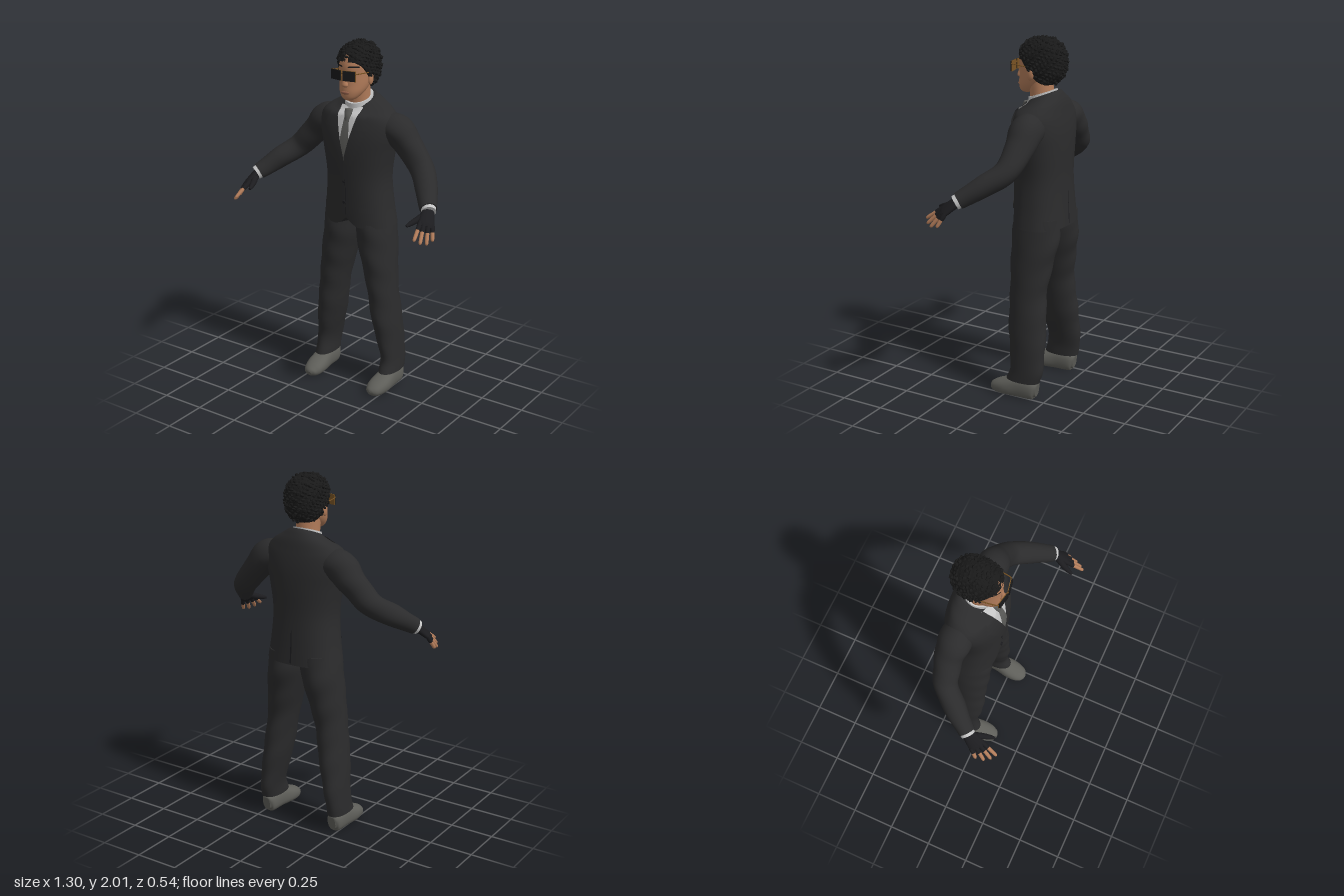
import * as THREE from 'three';
import { mergeGeometries } from 'three/addons/utils/BufferGeometryUtils.js';

const V = (x, y, z) => new THREE.Vector3(x, y, z);
const mat = (name, color) => {
  const m = new THREE.MeshStandardMaterial({ color, side: THREE.DoubleSide });
  m.name = name;
  return m;
};

// Smooth closed body through sections [x, y, z, a, b, power]; flat keeps them horizontal
function sweep(rows, { flat = false, ref = [0, 0, 1], segs = 24, steps = rows.length * 5, rule } = {}) {
  const path = new THREE.CatmullRomCurve3(rows.map((r) => V(r[0], r[1], r[2])), false, 'catmullrom', 0.5);
  const size = new THREE.CatmullRomCurve3(rows.map(([, , , a, b = a, n = 2]) => V(a, b, n)), false, 'catmullrom', 0.5);
  const rings = [];
  for (let i = 0; i <= steps; i++) {
    const p = path.getPoint(i / steps), q = size.getPoint(i / steps), t = path.getTangent(i / steps);
    const u = flat ? V(1, 0, 0) : V(...ref).addScaledVector(t, -t.dot(V(...ref))).normalize();
    const v = flat ? V(0, 0, 1) : V(0, 0, 0).crossVectors(t, u);
    const ring = [];
    for (let j = 0; j < segs; j++) {
      const c = Math.cos((j / segs) * 2 * Math.PI), s = Math.sin((j / segs) * 2 * Math.PI);
      const k = (w) => Math.sign(w) * Math.abs(w) ** (2 / q.z);
      const o = p.clone().addScaledVector(u, k(c) * q.x).addScaledVector(v, k(s) * q.y);
      if (rule) rule(o);
      ring.push(o);
    }
    rings.push(ring);
  }
  const verts = rings.flat(), idx = [];
  for (let i = 0; i < steps; i++) for (let j = 0; j < segs; j++) {
    const a = i * segs + j, b = i * segs + (j + 1) % segs;
    idx.push(a, b, a + segs, b, b + segs, a + segs);
  }
  // End caps with their own corners, so hems stay crisp
  [rings[0], rings[steps]].forEach((ring, e) => {
    const base = verts.length;
    const mid = ring.reduce((m, o) => m.add(o), V(0, 0, 0)).divideScalar(segs);
    verts.push(...ring, mid);
    for (let j = 0; j < segs; j++) {
      const a = base + j, b = base + (j + 1) % segs;
      idx.push(...(e ? [a, b, base + segs] : [b, a, base + segs]));
    }
  });
  let volume = 0;
  for (let i = 0; i < idx.length; i += 3)
    volume += verts[idx[i]].dot(V(0, 0, 0).crossVectors(verts[idx[i + 1]], verts[idx[i + 2]]));
  if (volume < 0) idx.reverse();
  const g = new THREE.BufferGeometry().setFromPoints(verts);
  g.setIndex(idx);
  g.computeVertexNormals();
  return g;
}

// Thin sheet laid over a mesh, from rows [y, x0, x1]; side -1 is the back
function drape(target, rows, off, side = 1, s = 1) {
  const pts = [], idx = [], nx = 8, per = 6, ray = new THREE.Raycaster();
  let last = 0;
  const ny = (rows.length - 1) * per;
  for (let i = 0; i <= ny; i++) {
    const k = Math.min(Math.floor(i / per), rows.length - 2), f = i / per - k;
    const [y, x0, x1] = rows[k].map((w, n) => THREE.MathUtils.lerp(w, rows[k + 1][n], f));
    for (let j = 0; j <= nx; j++) {
      const x = s * THREE.MathUtils.lerp(x0, x1, j / nx);
      ray.set(V(x, y, side * 2), V(0, 0, -side));
      const hit = ray.intersectObject(target)[0];
      if (hit) last = hit.point.z;
      pts.push(V(x, y, last + side * off));
      const a = i * (nx + 1) + j, b = a + nx + 1;
      if (i < ny && j < nx) idx.push(...(s * side > 0 ? [a, b, a + 1, a + 1, b, b + 1] : [a, a + 1, b, a + 1, b + 1, b]));
    }
  }
  const g = new THREE.BufferGeometry().setFromPoints(pts);
  g.setIndex(idx);
  g.computeVertexNormals();
  return g;
}

export function createModel() {
  const model = new THREE.Group();
  const suit = mat('suit', 0x2b2b2c), hair = mat('hair', 0x191919), skin = mat('skin', 0xb27c5a);
  const shirt = mat('shirt', 0xc4c4c4), grey = mat('tie grey', 0x5c5c59), shoe = mat('shoe grey', 0x5e5e59);
  const black = mat('glove black', 0x1c1c1f), glass = mat('dark lens', 0x19191a), frame = mat('spectacle frame', 0x7a5424);
  const lips = mat('lips', 0x92604a);
  const add = (name, geo, m) => {
    const mesh = new THREE.Mesh(geo, m);
    mesh.name = name;
    model.add(mesh);
    return mesh;
  };
  const fold = (p) => { p.z += 0.003 * Math.sin(38 * p.y + 22 * p.x); };

  // Jacket body: neckline dips at the front, front hem is cut away
  const jacket = add('jacket', sweep([
    [0, 0.975, -0.12, 0.215, 0.147, 2.5], [0, 1.1, -0.114, 0.197, 0.146, 2.4], [0, 1.25, -0.108, 0.188, 0.146, 2.3],
    [0, 1.4, -0.106, 0.21, 0.149, 2.3], [0, 1.5, -0.108, 0.232, 0.144, 2.3], [0, 1.58, -0.112, 0.236, 0.13, 2.2],
    [0, 1.63, -0.115, 0.195, 0.115, 2.1], [0, 1.662, -0.115, 0.135, 0.097], [0, 1.688, -0.115, 0.088, 0.08],
  ], { flat: true, segs: 48, rule: (p) => {
    p.y -= (p.z + 0.115) * 0.4 * THREE.MathUtils.smoothstep(p.y, 1.6, 1.685);
    if (p.z > 0 && p.y < 1.05 && Math.abs(p.x) < 0.06) p.y += (0.06 - Math.abs(p.x)) * 0.8 * (1.05 - p.y) / 0.075;
  } }), suit);

  // Shirt, tie and jacket fastenings
  add('shirtFront', drape(jacket, [[1.65, -0.075, 0.075], [1.6, -0.066, 0.066], [1.37, -0.004, 0.004]], 0.004), shirt);
  add('shirtCollar', sweep([[0, 1.63, -0.1, 0.086], [0, 1.66, -0.1, 0.08], [0, 1.695, -0.1, 0.075, 0.08]],
    { flat: true, rule: (p) => { p.y -= 0.35 * (p.z + 0.1); } }), shirt);
  add('tie', drape(jacket, [[1.6, -0.015, 0.015], [1.45, -0.031, 0.031], [1.36, -0.008, 0.008]], 0.009), grey);
  add('tieKnot', sweep([[0, 1.58, 0.018, 0.014, 0.01], [0, 1.61, 0.011, 0.021, 0.014], [0, 1.64, -0.001, 0.025, 0.015]], { flat: true }), grey);
  add('frontSeam', drape(jacket, [[1.25, -0.0015, 0.0015], [1.04, -0.0015, 0.0015]], 0.002), black);
  add('backVent', drape(jacket, [[1.17, -0.002, 0.002], [0.985, -0.005, 0.005]], 0.002, -1), black);
  for (const y of [1.235, 1.115]) {
    const b = add('button', new THREE.CylinderGeometry(0.009, 0.009, 0.008, 12).rotateX(Math.PI / 2), black);
    b.position.set(-0.008, y, 0.037);
  }

  // Neck and head
  add('neck', sweep([[0, 1.58, -0.105, 0.068], [0, 1.68, -0.095, 0.065], [0, 1.78, -0.085, 0.068]], { flat: true }), skin);
  const head = add('head', sweep([
    [0, 1.693, -0.002, 0.022, 0.024], [0, 1.708, -0.012, 0.046, 0.046], [0, 1.74, -0.036, 0.069, 0.075],
    [0, 1.78, -0.06, 0.082, 0.096], [0, 1.83, -0.08, 0.088, 0.115], [0, 1.89, -0.09, 0.09, 0.125],
    [0, 1.95, -0.09, 0.075, 0.1], [0, 1.975, -0.09, 0.03, 0.04],
  ], { flat: true, segs: 32 }), skin);
  add('nose', sweep([[0, 1.85, 0.028, 0.009, 0.008], [0, 1.81, 0.036, 0.012, 0.012], [0, 1.78, 0.04, 0.02, 0.016], [0, 1.768, 0.034, 0.01, 0.008]],
    { flat: true, segs: 16 }), skin);
  add('mouth', new THREE.SphereGeometry(1, 16, 10).scale(0.027, 0.009, 0.008).translate(0, 1.738, 0.037), lips);

  // Hair: tousled cap cut along a hairline, covered in small curls
  const hairline = (z) => 1.745 + 0.16 * THREE.MathUtils.smoothstep(z, -0.14, 0.03);
  const onHair = (d, k) => {
    const r = k / (Math.abs(d.x) ** 2.4 + Math.abs(d.y) ** 2.4 + Math.abs(d.z) ** 2.4) ** (1 / 2.4);
    return V(d.x * r * 0.105, 1.865 + d.y * r * 0.135, -0.1 + d.z * r * 0.138);
  };
  const cap = new THREE.SphereGeometry(1, 40, 32), cp = cap.attributes.position;
  for (let i = 0; i < cp.count; i++) {
    const p = onHair(V(cp.getX(i), cp.getY(i), cp.getZ(i)), 0.965);
    cp.setXYZ(i, p.x, Math.max(p.y, hairline(p.z)), p.z);
  }
  cap.computeVertexNormals();
  const curls = [cap.toNonIndexed()];
  for (let i = 0; i < 420; i++) {
    const y = 1 - (2 * i + 1) / 420, r = Math.sqrt(1 - y * y), t = i * 2.39996;
    const p = onHair(V(r * Math.cos(t), y, r * Math.sin(t)), 0.925 + 0.025 * Math.sin(i * 7.3));
    if (p.y < hairline(p.z) + 0.008) continue;
    curls.push(new THREE.IcosahedronGeometry(0.013, 0).scale(1, 0.7, 1.3).rotateY(i * 1.7).rotateX(i * 0.9).translate(p.x, p.y, p.z));
  }
  add('hair', mergeGeometries(curls), hair);

  // Spectacles bridge
  add('spectacleBridge', new THREE.BoxGeometry(0.016, 0.006, 0.005).translate(0, 1.85, 0.064), frame);

  for (const s of [1, -1]) {
    const mir = (rows) => rows.map(([x, ...r]) => [x * s, ...r]);

    // Lapels, collar points and pocket flaps
    add('lapel', drape(jacket, [[1.655, 0.07, 0.105], [1.6, 0.06, 0.12], [1.548, 0.046, 0.148], [1.538, 0.044, 0.13],
      [1.38, 0.002, 0.066], [1.24, -0.006, -0.002]], 0.012, 1, s), suit);
    add('collarPoint', drape(jacket, [[1.645, 0.018, 0.078], [1.59, 0.045, 0.058]], 0.01, 1, s), shirt);
    add('pocketFlap', drape(jacket, [[1.1, 0.085, 0.165], [1.07, 0.085, 0.165]], 0.006, 1, s), suit);

    // Face details
    add('eyebrow', drape(head, [[1.884, 0.022, 0.065], [1.876, 0.017, 0.07]], 0.003, 1, s), hair);
    add('ear', new THREE.SphereGeometry(1, 14, 10).scale(0.011, 0.032, 0.02).rotateX(-0.2).translate(s * 0.092, 1.805, -0.075), skin);
    const lens = add('lens', new THREE.BoxGeometry(0.07, 0.053, 0.009), glass);
    lens.position.set(s * 0.041, 1.837, 0.06);
    lens.rotation.y = s * 0.2;
    const rim = add('lensRim', new THREE.BoxGeometry(0.075, 0.057, 0.004), frame);
    rim.position.set(s * 0.041, 1.837, 0.056);
    rim.rotation.y = s * 0.2;
    add('spectacleArm', sweep(mir([[0.077, 1.85, 0.052, 0.003], [0.087, 1.85, 0.025, 0.003], [0.097, 1.842, -0.08, 0.003]]),
      { ref: [0, 1, 0], segs: 6 }), frame);

    // Sleeve and shirt cuff
    add('sleeve', sweep(mir([
      [0.14, 1.535, -0.12, 0.08], [0.23, 1.527, -0.128, 0.09], [0.305, 1.455, -0.13, 0.077], [0.405, 1.347, -0.105, 0.066],
      [0.485, 1.28, -0.02, 0.06], [0.545, 1.223, 0.06, 0.05], [0.565, 1.205, 0.085, 0.046],
    ]), { rule: fold }), suit);
    add('cuff', sweep(mir([[0.555, 1.214, 0.072, 0.041], [0.575, 1.196, 0.099, 0.039]]), {}), shirt);

    // Half-finger glove
    const across = [s * 0.05, -0.02, -0.05];
    add('glovePalm', sweep(mir([[0.565, 1.205, 0.085, 0.03, 0.025], [0.58, 1.178, 0.12, 0.04, 0.022],
      [0.596, 1.148, 0.155, 0.044, 0.018], [0.602, 1.137, 0.17, 0.038, 0.012]]), { ref: across }), black);
    add('gloveThumb', sweep(mir([[0.567, 1.185, 0.115, 0.02], [0.543, 1.165, 0.165, 0.017], [0.528, 1.152, 0.205, 0.013], [0.52, 1.145, 0.23, 0.007]]),
      { segs: 12, ref: [0, 1, 0] }), black);
    const fingers = [
      [[0.572, 1.152, 0.183], [0.592, 1.09, 0.272]], [[0.59, 1.146, 0.175], [0.616, 1.07, 0.25]],
      [[0.608, 1.138, 0.16], [0.636, 1.06, 0.217]], [[0.623, 1.13, 0.14], [0.645, 1.068, 0.172]],
    ];
    for (const [a, b] of fingers) {
      const at = (f, r) => [...a.map((w, n) => w + (b[n] - w) * f), r];
      add('gloveFinger', sweep(mir([at(-0.2, 0.013), at(0.1, 0.0135), at(0.35, 0.012)]), { segs: 10, ref: across }), black);
      add('finger', sweep(mir([at(0.2, 0.0105), at(0.55, 0.0105), at(0.9, 0.009), at(1, 0.003)]), { segs: 10, ref: across }), skin);
    }

    // Trouser leg
    add('trouserLeg', sweep(mir([
      [0.226, 0.1, -0.107, 0.055, 0.102, 2.2], [0.22, 0.2, -0.128, 0.056, 0.1, 2.1], [0.19, 0.4, -0.113, 0.075, 0.112],
      [0.163, 0.6, -0.104, 0.083, 0.107], [0.137, 0.76, -0.11, 0.097, 0.122], [0.111, 0.91, -0.12, 0.109, 0.137], [0.1, 1.03, -0.12, 0.105, 0.13],
    ]), { flat: true, segs: 32, rule: fold }), suit);

    // Shoe with a flat sole
    add('shoe', sweep(mir([
      [0.225, 0.05, -0.195, 0.022, 0.035, 2.4], [0.225, 0.054, -0.17, 0.043, 0.058, 2.4], [0.225, 0.056, -0.08, 0.05, 0.062, 2.4],
      [0.222, 0.042, 0, 0.06, 0.05, 2.3], [0.217, 0.03, 0.06, 0.052, 0.038, 2.2], [0.212, 0.025, 0.09, 0.034, 0.025, 2], [0.21, 0.022, 0.102, 0.01, 0.01, 2],
    ]), { ref: [1, 0, 0], rule: (p) => { p.y = Math.max(p.y, 0); } }), shoe);
  }
  return model;
}
